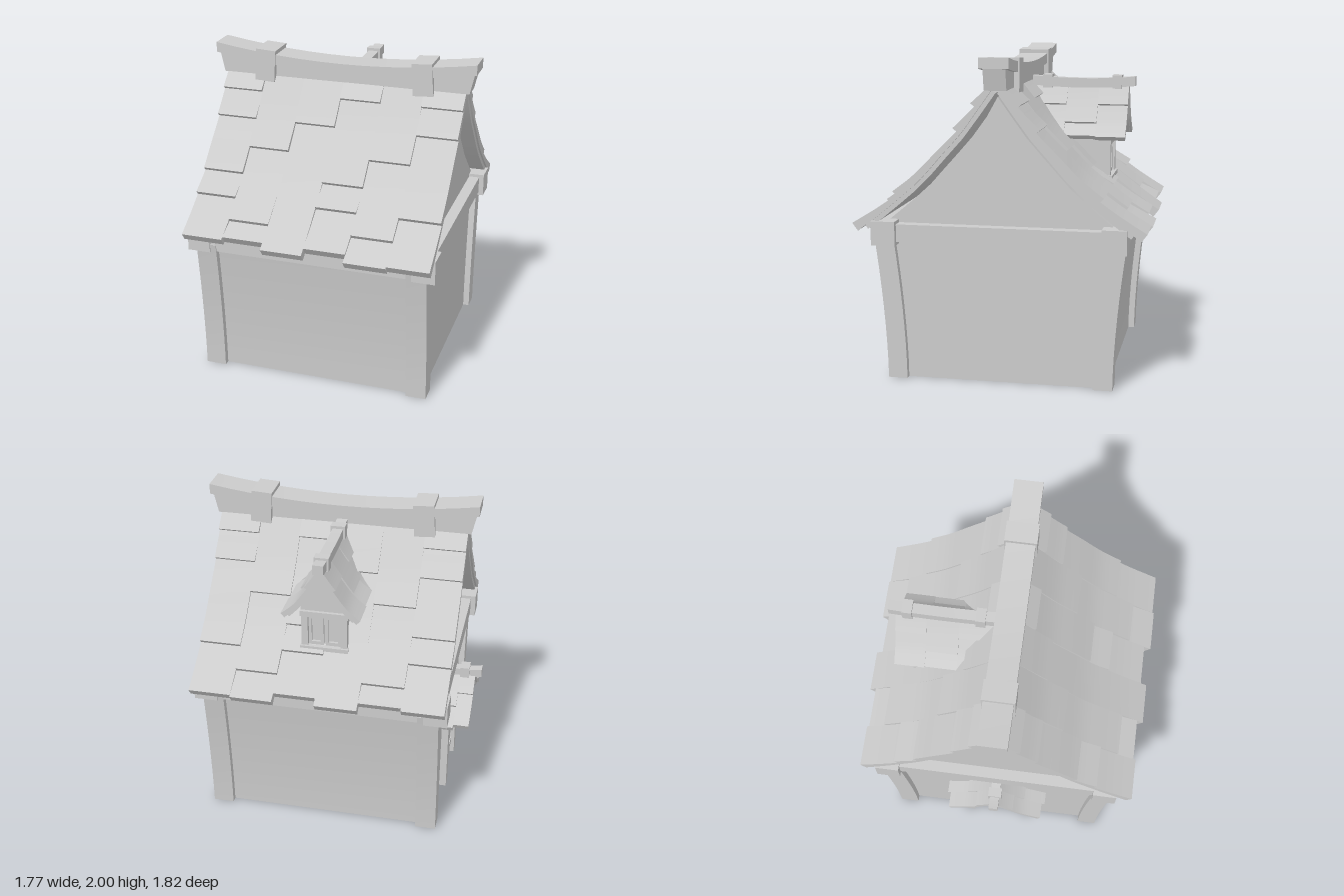
import * as THREE from 'three';
import { toCreasedNormals } from 'three/addons/utils/BufferGeometryUtils.js';

const material = new THREE.MeshStandardMaterial({ color: 0xcccccc });

function add(parent, name, geometry) {
  const mesh = new THREE.Mesh(geometry, material);
  mesh.name = name;
  parent.add(mesh);
  return mesh;
}

// Box given by its centre and size
function box(parent, name, [x, y, z], [w, h, d]) {
  const mesh = add(parent, name, new THREE.BoxGeometry(w, h, d));
  mesh.position.set(x, y, z);
  return mesh;
}

function extrude(points, depth) {
  const shape = new THREE.Shape(points.map(([a, b]) => new THREE.Vector2(a, b)));
  return new THREE.ExtrudeGeometry(shape, { depth, bevelEnabled: false });
}

// Prism from a (z, y) outline, running along x from x0 to x1
function prismX(parent, name, points, x0, x1) {
  const geo = extrude(points, x1 - x0).rotateY(-Math.PI / 2).translate(x1, 0, 0);
  return add(parent, name, toCreasedNormals(geo, 0.5));
}

// Roof slope as a curve: at(u, offset) gives the point at distance u, moved along the normal
function slope(points) {
  const curve = new THREE.SplineCurve(points.map(([u, y]) => new THREE.Vector2(u, y)));
  const at = (u, offset = 0) => {
    let a = 0, b = 1;
    for (let i = 0; i < 24; i++) {
      const m = (a + b) / 2;
      if (curve.getPoint(m).x < u) a = m; else b = m;
    }
    const p = curve.getPoint(a), t = curve.getTangent(a);
    return [p.x - t.y * offset, p.y + t.x * offset];
  };
  // Points from u0 to u1 with the offset running from o0 to o1
  const line = (u0, u1, o0, o1, n = 8) => Array.from({ length: n + 1 }, (_, i) =>
    at(u0 + (u1 - u0) * i / n, o0 + (o1 - o0) * i / n));
  return { at, line };
}

const flip = (points, s) => points.map(([u, y]) => [s * u, y]);

// Both slopes of a shingled roof with its ridge along x.
// Each column lists where its shingles end; the last one is the eave.
function shingleRoof(parent, curve, top, edges, columns, lift, thick) {
  const roof = new THREE.Group();
  roof.name = 'roof';
  parent.add(roof);
  for (const s of [1, -1]) {
    columns.forEach((ends, c) => ends.forEach((end, i) => {
      const start = i ? ends[i - 1] : top;
      const outline = [...curve.line(start, end, 0, lift), ...curve.line(end, start, -thick, -thick)];
      prismX(roof, 'shingle', flip(outline, s), edges[c], edges[c + 1]);
    }));
    // Boarding below the shingles
    const eave = Math.min(...columns.map((ends) => ends.at(-1))) - 0.01;
    const outline = [...curve.line(top, eave, -thick, -thick), ...curve.line(eave, top, -2 * thick, -2 * thick)];
    prismX(roof, 'roofBoard', flip(outline, s), edges[0] + 0.012, edges.at(-1) - 0.012);
  }
}

// Ridge beam along x with a sagging top line; flatBottom replaces the curved underside
function ridgeBeam(parent, name, x0, x1, yMid, rise, height, width, flatBottom) {
  const n = 12, upper = [], lower = [];
  for (let i = 0; i <= n; i++) {
    const s = i / n * 2 - 1, x = x0 + (x1 - x0) * i / n, y = yMid + rise * s * s;
    upper.push([x, y]);
    if (flatBottom === undefined) lower.unshift([x, y - height]);
  }
  if (flatBottom !== undefined) lower.push([x1 - 0.03, flatBottom], [x0 + 0.03, flatBottom]);
  const geo = extrude([...upper, ...lower], width).translate(0, 0, -width / 2);
  return add(parent, name, toCreasedNormals(geo, 0.5));
}

// Gable outline following the slope just under the roof
function gableOutline(curve, u0, u1, offset, base) {
  const side = curve.line(u0, u1, offset, offset);
  return [[-side.at(-1)[0], base], [side.at(-1)[0], base], ...side.slice().reverse(), ...flip(side, -1)];
}

// Side line of the house: upright at the foot, flaring out at the top
const flare = (inset) => Array.from({ length: 9 }, (_, i) => {
  const y = 0.9 * i / 8;
  return [0.7 - inset + 0.075 * Math.pow(y / 0.9, 1.7), y];
});

function buildBody(house) {
  const side = flare(0.04);
  prismX(house, 'walls', [...side, ...flip(side, -1).reverse()], -0.7, 0.7);
  const post = [...flare(0), ...flare(0.12).reverse()];
  for (const s of [1, -1]) {
    for (const x of [-0.74, 0.61]) {
      prismX(house, 'cornerPost', flip(post, s), x, x + 0.13);
      box(house, 'postCap', [x < 0 ? -0.72 : 0.72, 0.925, s * 0.705], [0.145, 0.15, 0.15]);
    }
    box(house, 'eaveBeam', [0, 0.925, s * 0.705], [1.4, 0.14, 0.12]);
    box(house, 'gableBeam', [s * 0.7, 0.925, 0], [0.12, 0.11, 1.3]);
  }
}

function buildMainRoof(house) {
  const curve = slope([[0.03, 1.85], [0.13, 1.71], [0.24, 1.56], [0.37, 1.415],
    [0.49, 1.28], [0.62, 1.165], [0.74, 1.065], [0.9, 0.945]]);
  prismX(house, 'gableWall', gableOutline(curve, 0.06, 0.74, -0.085, 0.95), -0.69, 0.69);
  const edges = Array.from({ length: 7 }, (_, i) => -0.785 + 1.57 * i / 6);
  shingleRoof(house, curve, 0.05, edges, [
    [0.13, 0.24, 0.49, 0.62, 0.86], [0.37, 0.74, 0.845], [0.24, 0.885],
    [0.13, 0.49, 0.62, 0.845], [0.37, 0.74, 0.89], [0.13, 0.24, 0.62, 0.88],
  ], 0.03, 0.028);
  ridgeBeam(house, 'ridgeCap', -0.85, 0.85, 1.93, 0.07, 0.065, 0.18);
  ridgeBeam(house, 'ridgeBase', -0.835, 0.835, 1.87, 0.066, 0, 0.135, 1.805);
  for (const s of [1, -1]) {
    box(house, 'ridgeClamp', [s * 0.515, 1.877, 0], [0.13, 0.205, 0.2]).rotation.z = s * 0.06;
  }
}

// Dormer, facing +x in its own frame
function buildDormer(house) {
  const dormer = new THREE.Group();
  dormer.name = 'dormer';
  dormer.rotation.y = Math.PI / 2;
  house.add(dormer);
  const curve = slope([[0, 1.81], [0.05, 1.71], [0.1, 1.625], [0.16, 1.535], [0.25, 1.445]]);
  box(dormer, 'dormerWall', [0.42, 1.31, 0], [0.3, 0.3, 0.25]);
  prismX(dormer, 'dormerGable', gableOutline(curve, 0.02, 0.17, -0.03, 1.43), 0.3, 0.585);
  shingleRoof(dormer, curve, 0.01, [0.1, 0.31, 0.51, 0.7],
    [[0.08, 0.235], [0.15, 0.225], [0.08, 0.23]], 0.018, 0.016);
  ridgeBeam(dormer, 'dormerRidge', 0.08, 0.74, 1.823, 0.015, 0.06, 0.066);
  for (const x of [0.18, 0.625]) box(dormer, 'dormerRidgeClamp', [x, 1.803, 0], [0.06, 0.085, 0.09]);
  // Window frame and two sashes
  box(dormer, 'windowSill', [0.59, 1.2, 0], [0.05, 0.035, 0.3]);
  box(dormer, 'windowLintel', [0.585, 1.435, 0], [0.04, 0.035, 0.3]);
  for (const s of [1, -1]) {
    box(dormer, 'windowPost', [0.583, 1.31, s * 0.122], [0.036, 0.25, 0.04]);
    for (const z of [0.015, 0.09]) box(dormer, 'sashStile', [0.576, 1.32, s * z], [0.02, 0.2, 0.018]);
    for (const y of [1.23, 1.41]) box(dormer, 'sashRail', [0.576, y, s * 0.052], [0.02, 0.022, 0.09]);
  }
}

// Door with a small canopy, facing +x in its own frame
function buildPorch(house) {
  const porch = new THREE.Group();
  porch.name = 'porch';
  porch.rotation.y = Math.PI;
  house.add(porch);
  const curve = slope([[0, 0.8], [0.05, 0.735], [0.11, 0.67], [0.19, 0.6], [0.33, 0.52]]);
  box(porch, 'door', [0.7, 0.25, 0], [0.03, 0.5, 0.34]);
  for (const y of [0.1, 0.38]) box(porch, 'doorBand', [0.712, y, 0], [0.02, 0.045, 0.34]);
  const knob = add(porch, 'doorKnob', new THREE.SphereGeometry(0.016, 12, 8));
  knob.position.set(0.725, 0.25, 0.11);
  for (const s of [1, -1]) box(porch, 'doorPost', [0.715, 0.27, s * 0.2], [0.06, 0.54, 0.075]);
  box(porch, 'doorLintel', [0.715, 0.51, 0], [0.05, 0.05, 0.4]);
  prismX(porch, 'porchGable', gableOutline(curve, 0.02, 0.22, -0.035, 0.52), 0.68, 0.73);
  shingleRoof(porch, curve, 0.01, [0.68, 0.78, 0.88], [[0.18, 0.32], [0.11, 0.3]], 0.02, 0.016);
  ridgeBeam(porch, 'porchRidge', 0.68, 0.92, 0.808, 0.012, 0.055, 0.06);
  box(porch, 'porchRidgeClamp', [0.81, 0.79, 0], [0.06, 0.07, 0.085]);
}

export function createModel() {
  const model = new THREE.Group();
  model.name = 'cottage';
  const house = new THREE.Group();
  house.name = 'house';
  house.position.x = 0.03;
  model.add(house);
  buildBody(house);
  buildMainRoof(house);
  buildDormer(house);
  buildPorch(house);
  return model;
}
